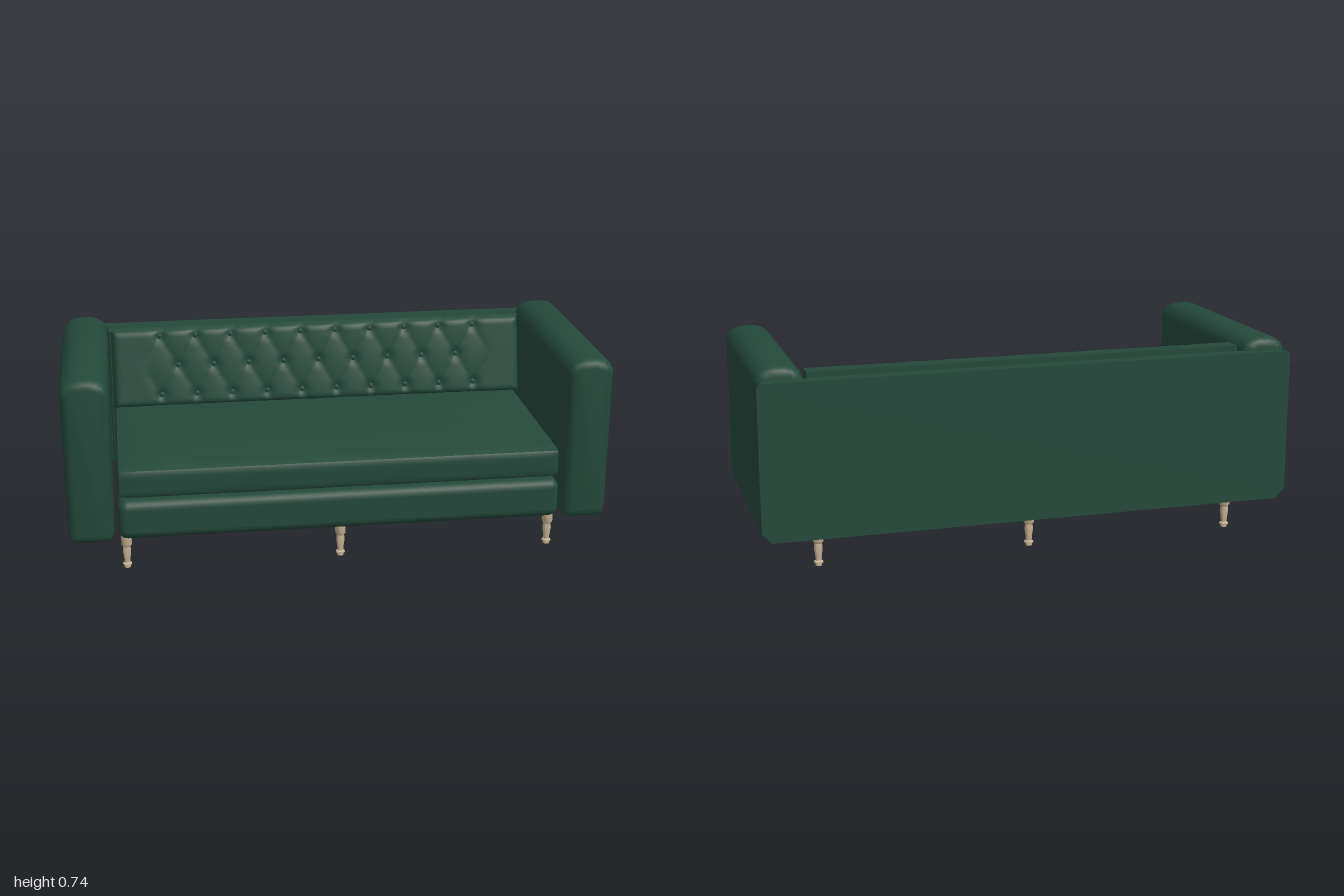
import * as THREE from 'three';
import { toCreasedNormals } from 'three/addons/utils/BufferGeometryUtils.js';
import { RoundedBoxGeometry } from 'three/addons/geometries/RoundedBoxGeometry.js';

export function createModel() {
  const sofa = new THREE.Group();
  sofa.name = 'sofa';
  const green = new THREE.MeshStandardMaterial({ color: 0x24493b });
  green.name = 'green upholstery';
  const wood = new THREE.MeshStandardMaterial({ color: 0xc4b294 });
  wood.name = 'pale wood';

  const add = (name, geo, mat, x = 0, y = 0, z = 0) => {
    const mesh = new THREE.Mesh(geo, mat);
    mesh.name = name;
    mesh.position.set(x, y, z);
    sofa.add(mesh);
    return mesh;
  };
  // Box given by its limits, with rounded edges
  const block = (name, hx, y0, y1, z0, z1, r) =>
    add(name, new RoundedBoxGeometry(hx * 2, y1 - y0, z1 - z0, 3, r), green, 0, (y0 + y1) / 2, (z0 + z1) / 2);
  // Mirror-symmetric outline, given by its right half from bottom to top
  const outline = (half) => new THREE.Shape([
    ...half.map(([x, y]) => new THREE.Vector2(x, y)),
    ...half.slice().reverse().map(([x, y]) => new THREE.Vector2(-x, y)),
  ]);

  // Arms: domed section with bevelled front and back
  const armShape = outline([
    [0.055, 0.122], [0.076, 0.133], [0.083, 0.16], [0.084, 0.67], [0.086, 0.695], [0.074, 0.72], [0.05, 0.736], [0.02, 0.743],
  ]);
  const bevel = 0.035;
  const armGeo = toCreasedNormals(new THREE.ExtrudeGeometry(armShape, {
    depth: 0.837 - 2 * bevel, bevelThickness: bevel, bevelSize: 0.03, bevelOffset: -0.03, bevelSegments: 3,
  }), 0.6);
  add('rightArm', armGeo, green, -0.914, 0, -0.4 + bevel);
  add('leftArm', armGeo, green, 0.914, 0, -0.4 + bevel);

  // Back panel: flares towards the rear, with clipped lower corners
  const panelShape = outline([[0.965, 0.122], [1, 0.16], [1, 0.68], [0.99, 0.695]]);
  const panelGeo = new THREE.ExtrudeGeometry(panelShape, { depth: 0.047, bevelEnabled: false });
  const pp = panelGeo.attributes.position;
  for (let i = 0; i < pp.count; i++) {
    if (pp.getZ(i) > 0.02) pp.setX(i, pp.getX(i) * 0.975);
  }
  panelGeo.computeVertexNormals();
  add('backPanel', panelGeo, green, 0, 0, -0.437);
  block('backFrame', 0.828, 0.13, 0.692, -0.42, -0.355, 0.012);

  // Base rail and seat cushion
  block('base', 0.818, 0.125, 0.275, -0.4, 0.427, 0.035);
  const seat = block('seatCushion', 0.815, 0.285, 0.4, -0.355, 0.428, 0.025);
  seat.geometry.dispose();
  const seatGeo = new THREE.BoxGeometry(1.63, 0.115, 0.783, 40, 8, 24);
  const sp = seatGeo.attributes.position;
  const v = new THREE.Vector3(), core = new THREE.Vector3();
  for (let i = 0; i < sp.count; i++) {
    v.fromBufferAttribute(sp, i);
    // Round the edges, then swell the top softly
    const r = 0.026;
    core.set(
      THREE.MathUtils.clamp(v.x, -0.815 + r, 0.815 - r),
      THREE.MathUtils.clamp(v.y, -0.0575 + r, 0.0575 - r),
      THREE.MathUtils.clamp(v.z, -0.3915 + r, 0.3915 - r));
    const swell = Math.max(0, v.y / 0.0575) * 0.014
      * (1 - (v.x / 0.815) ** 4) * (1 - (v.z / 0.3915) ** 4);
    v.sub(core);
    if (v.lengthSq() > 0) v.setLength(Math.min(r, v.length()));
    v.add(core);
    sp.setXYZ(i, v.x, v.y + swell, v.z);
  }
  seatGeo.computeVertexNormals();
  seat.geometry = seatGeo;

  // Button layout: three staggered rows
  const step = 0.139, rowStep = 0.1125, rowY = 0.455;
  const buttons = [];
  for (let row = 0; row < 3; row++) {
    const n = row === 1 ? 9 : 10;
    for (let i = 0; i < n; i++) buttons.push([(i - (n - 1) / 2) * step, rowY + row * rowStep]);
  }

  // Front surface of the back cushion: slanted, rounded at the rim, tufted
  const y0 = 0.41, y1 = 0.712, hx = 0.815;
  const frontZ = (x, y) => {
    let z = -0.2 - 0.068 * (y - y0) / (y1 - y0);
    const d = Math.min(hx - Math.abs(x), y - y0, y1 - y), r = 0.028;
    if (d < r) z -= r - Math.sqrt(Math.max(0, r * r - (r - d) ** 2));
    const a = x / step + 0.5, b = (y - rowY) / rowStep / 2;
    const fade = THREE.MathUtils.smoothstep(0.72 - Math.abs(x), 0, 0.09);
    const puff = Math.sqrt(Math.abs(Math.sin(Math.PI * (a + b)) * Math.sin(Math.PI * (a - b))));
    z -= 0.007 * (1 - puff) * fade;
    for (const [bx, by] of buttons) {
      const q = (x - bx) ** 2 + (y - by) ** 2;
      if (q < 0.004) z -= 0.011 * Math.exp(-q / 0.0004);
    }
    return z;
  };
  const backGeo = new THREE.BoxGeometry(hx * 2, y1 - y0, 1, 188, 40, 2);
  const bp = backGeo.attributes.position;
  for (let i = 0; i < bp.count; i++) {
    const x = bp.getX(i), y = bp.getY(i) + (y0 + y1) / 2;
    bp.setXYZ(i, x, y, THREE.MathUtils.lerp(-0.365, frontZ(x, y), bp.getZ(i) + 0.5));
  }
  backGeo.computeVertexNormals();
  add('backCushion', backGeo, green);

  // Buttons
  const buttonGeo = new THREE.SphereGeometry(0.011, 10, 6);
  buttonGeo.scale(1, 1, 0.55);
  for (const [x, y] of buttons) add('button', buttonGeo, green, x, y, frontZ(x, y) + 0.002);

  // Turned legs
  const profile = [
    [0, 0], [0.012, 0], [0.012, 0.008], [0.017, 0.01], [0.017, 0.016], [0.011, 0.02], [0.012, 0.035],
    [0.016, 0.065], [0.014, 0.083], [0.019, 0.09], [0.02, 0.096], [0.02, 0.13],
  ].map(([x, y]) => new THREE.Vector2(x, y));
  const legGeo = toCreasedNormals(new THREE.LatheGeometry(profile, 10), 0.7);
  for (const z of [0.373, -0.357]) {
    for (const x of [-0.79, 0, 0.79]) add('leg', legGeo, wood, x, 0, z);
  }
  return sofa;
}
